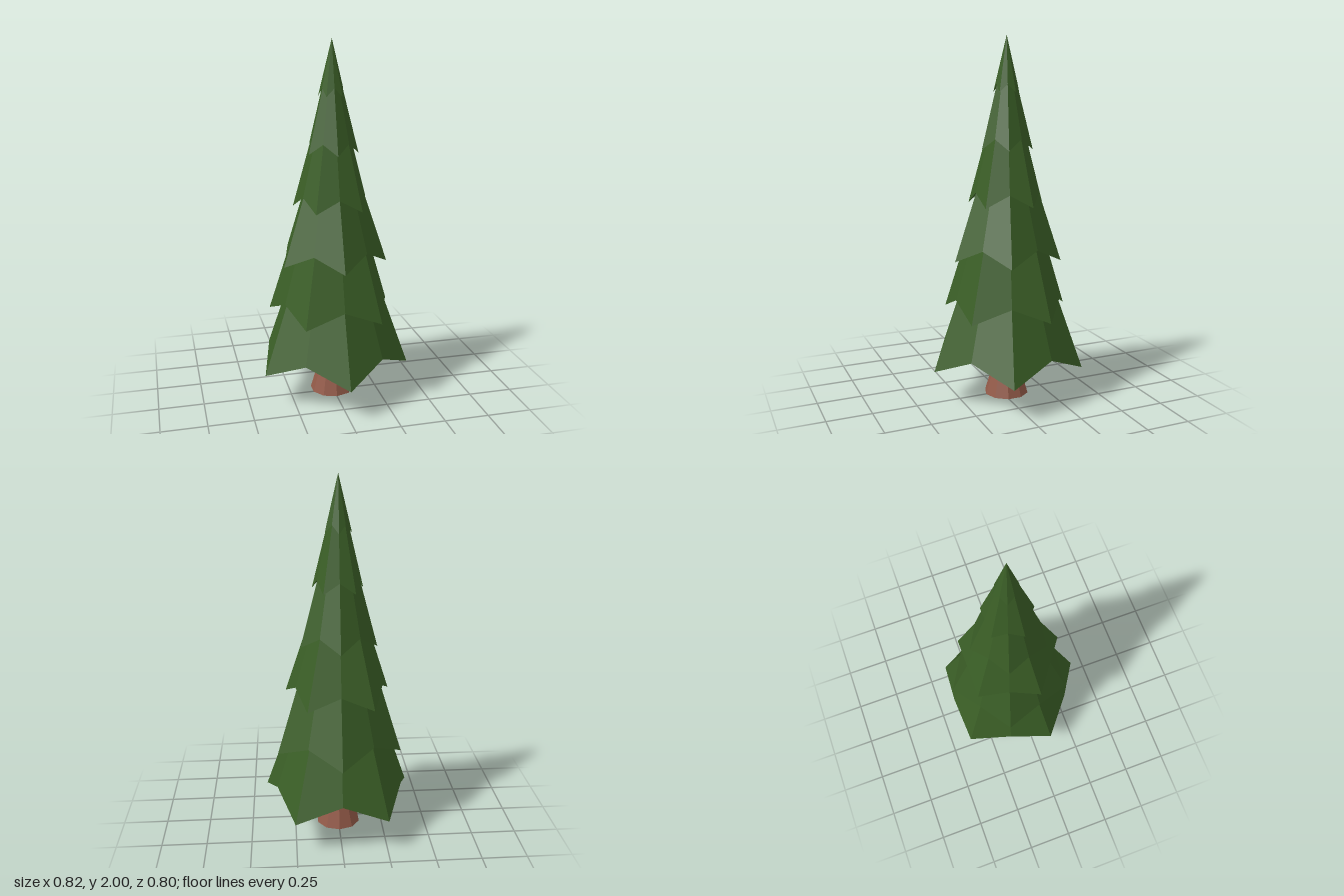
import * as THREE from 'three';

const AXIS_Z = -0.035; // trunk axis
const POINTS = 5; // branch tips per tier

const needles = new THREE.MeshStandardMaterial({ color: 0x3a5e26, flatShading: true, side: THREE.DoubleSide });
needles.name = 'needle green';
const bark = new THREE.MeshStandardMaterial({ color: 0x935a48, flatShading: true });
bark.name = 'bark brown';

// Each tier: apex height, tip radius and height, notch radius and height
const TIERS = [
  [1.38, 0.433, 0.18, 0.367, 0.285],
  [1.62, 0.36, 0.49, 0.302, 0.575],
  [1.7, 0.305, 0.79, 0.25, 0.87],
  [1.88, 0.217, 1.095, 0.182, 1.165],
  [1.97, 0.145, 1.395, 0.121, 1.455],
  [2.0, 0.074, 1.7, 0.06, 1.745],
];

// Open cone whose rim alternates between low tips and raised notches
function tierGeometry([apexY, tipR, tipY, notchR, notchY], startWithNotch) {
  const n = POINTS * 2;
  const rim = (i) => {
    const a = (i * Math.PI * 2) / n;
    const isTip = (i % 2 === 0) !== startWithNotch;
    const r = isTip ? tipR : notchR;
    return [r * Math.sin(a), isTip ? tipY : notchY, r * Math.cos(a)];
  };
  const positions = [];
  for (let i = 0; i < n; i++) positions.push(0, apexY, 0, ...rim(i), ...rim(i + 1));
  const geometry = new THREE.BufferGeometry();
  geometry.setAttribute('position', new THREE.Float32BufferAttribute(positions, 3));
  geometry.computeVertexNormals();
  return geometry;
}

export function createModel() {
  const tree = new THREE.Group();
  tree.name = 'pineTree';

  // Trunk with flared foot
  const profile = [[0, 0], [0.125, 0], [0.068, 0.19], [0.062, 0.7]].map(([r, y]) => new THREE.Vector2(r, y));
  const trunk = new THREE.Mesh(new THREE.LatheGeometry(profile, 10), bark);
  trunk.name = 'trunk';
  trunk.position.z = AXIS_Z;
  tree.add(trunk);

  // Foliage tiers, every second one turned by half a step
  const foliage = new THREE.Group();
  foliage.name = 'foliage';
  foliage.position.z = AXIS_Z;
  TIERS.forEach((tier, i) => {
    const mesh = new THREE.Mesh(tierGeometry(tier, i % 2 === 1), needles);
    mesh.name = `branchTier${i + 1}`;
    foliage.add(mesh);
  });
  tree.add(foliage);
  return tree;
}
